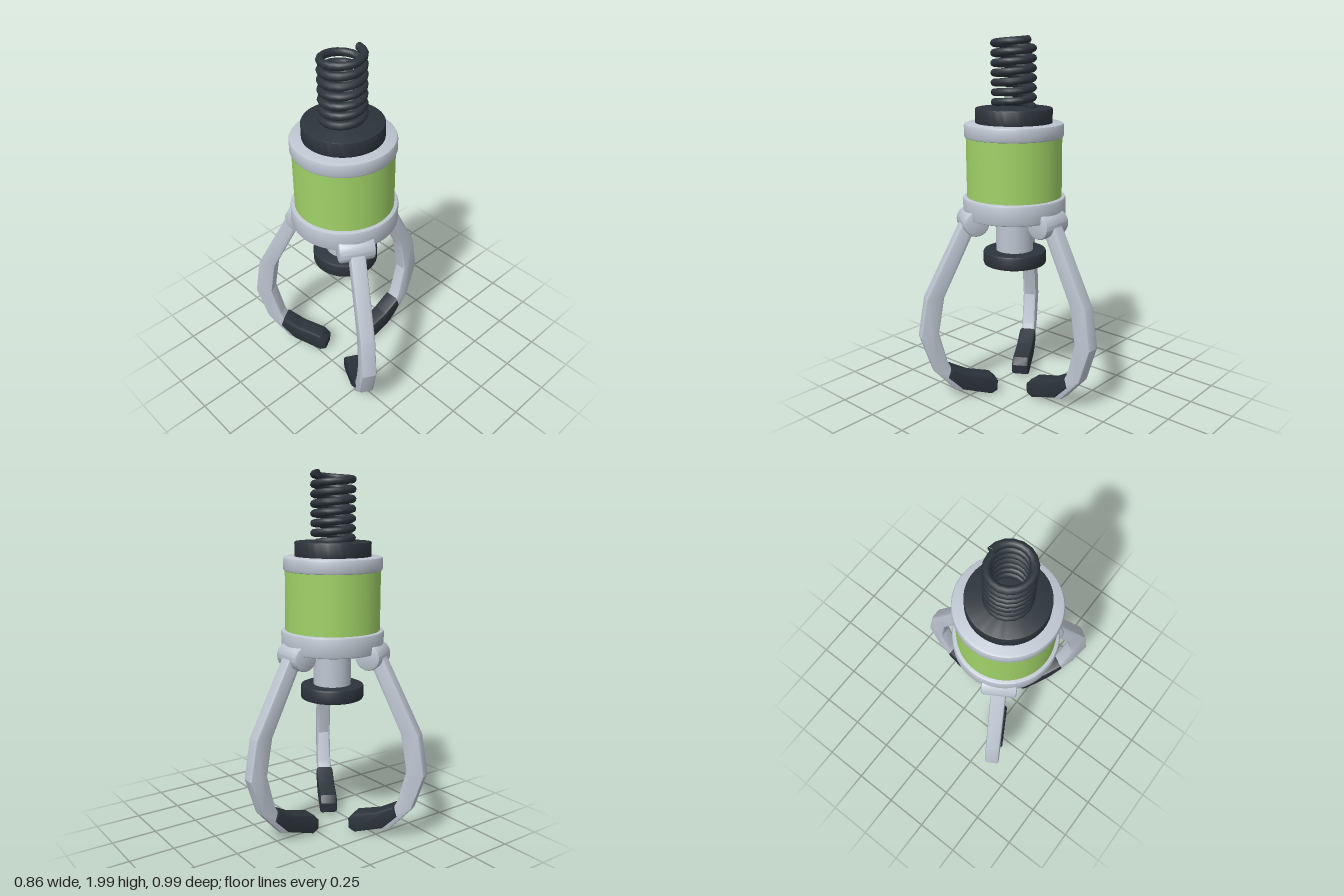
import * as THREE from 'three';
import { toCreasedNormals } from 'three/addons/utils/BufferGeometryUtils.js';

const material = (name, color) => {
  const m = new THREE.MeshStandardMaterial({ color });
  m.name = name;
  return m;
};

// Disc between two heights with a small bevel on both rims
function disc(radius, y0, y1, bevel) {
  const profile = [
    [0, y0], [radius - bevel, y0], [radius - bevel * 0.3, y0 + bevel * 0.3], [radius, y0 + bevel],
    [radius, y1 - bevel], [radius - bevel * 0.3, y1 - bevel * 0.3], [radius - bevel, y1], [0, y1],
  ].map(([r, y]) => new THREE.Vector2(r, y));
  return toCreasedNormals(new THREE.LatheGeometry(profile, 64), 0.6);
}

// Bevelled plate from an outline of (radius, height) points, centred on its thickness
function plate(points, width, bevel) {
  const shape = new THREE.Shape(points.map(([r, y]) => new THREE.Vector2(r, y)));
  const geometry = new THREE.ExtrudeGeometry(shape, {
    depth: width - 2 * bevel, bevelEnabled: true, bevelThickness: bevel,
    bevelSize: bevel, bevelOffset: -bevel, bevelSegments: 2,
  });
  geometry.translate(0, 0, bevel - width / 2);
  return toCreasedNormals(geometry, 0.4);
}

// Coil rising anticlockwise seen from above
class Coil extends THREE.Curve {
  getPoint(t, target = new THREE.Vector3()) {
    const a = t * 7 * Math.PI * 2;
    return target.set(Math.cos(a) * 0.102, 1.628 + 0.352 * t, -Math.sin(a) * 0.102);
  }
}

export function createModel() {
  const metal = material('light grey metal', 0xbdc5d0);
  const rubber = material('dark rubber', 0x2c343b);
  const paint = material('green paint', 0xa0d267);

  const model = new THREE.Group();
  model.name = 'threeFingerGripper';
  const axis = new THREE.Group();
  axis.name = 'gripper';
  axis.position.x = -0.124;
  model.add(axis);

  const add = (parent, name, geometry, mat) => {
    const mesh = new THREE.Mesh(geometry, mat);
    mesh.name = name;
    parent.add(mesh);
    return mesh;
  };

  // Body stack
  add(axis, 'spring', new THREE.TubeGeometry(new Coil(), 7 * 18, 0.02, 10), rubber);
  for (const [name, t] of [['springTopEnd', 1], ['springBottomEnd', 0]]) {
    const cap = add(axis, name, new THREE.CircleGeometry(0.02, 10), rubber);
    cap.position.copy(new Coil().getPoint(t));
    if (t === 0) cap.rotation.y = 0;
    else cap.rotation.y = Math.PI;
  }
  add(axis, 'topCap', disc(0.206, 1.54, 1.63, 0.006), rubber);
  add(axis, 'upperRing', disc(0.267, 1.473, 1.552, 0.014), metal);
  add(axis, 'housing', new THREE.CylinderGeometry(0.258, 0.258, 0.34, 64), paint).position.y = 1.315;
  add(axis, 'lowerRing', disc(0.28, 1.045, 1.157, 0.012), metal);
  add(axis, 'shaft', new THREE.CylinderGeometry(0.103, 0.103, 0.24, 48), metal).position.y = 0.95;
  add(axis, 'knob', disc(0.174, 0.77, 0.85, 0.012), rubber);

  // Finger parts, shared by all three fingers
  const hingeGeometry = disc(0.069, -0.093, 0.093, 0.012).rotateX(Math.PI / 2);
  const armGeometry = plate([
    [0.225, 1.07], [0.19, 1.0], [0.255, 0.95], [0.415, 0.62], [0.45, 0.415], [0.405, 0.235],
    [0.345, 0.12], [0.27, 0.075], [0.30, 0.045], [0.365, 0.062],
    [0.488, 0.2], [0.552, 0.4], [0.515, 0.62], [0.305, 1.03], [0.27, 1.075],
  ], 0.08, 0.012);
  const padGeometry = plate([
    [0.388, 0.207], [0.285, 0.152], [0.155, 0.118], [0.119, 0.08], [0.123, 0.025], [0.16, 0.006],
    [0.325, 0.06], [0.408, 0.145],
  ], 0.1, 0.014);

  for (let i = 0; i < 3; i++) {
    const finger = new THREE.Group();
    finger.name = 'finger' + (i + 1);
    finger.rotation.y = (i * Math.PI * 2) / 3;
    axis.add(finger);
    add(finger, 'hinge', hingeGeometry, metal).position.set(0.238, 1.031, 0);
    add(finger, 'arm', armGeometry, metal);
    add(finger, 'gripPad', padGeometry, rubber);
  }
  return model;
}
